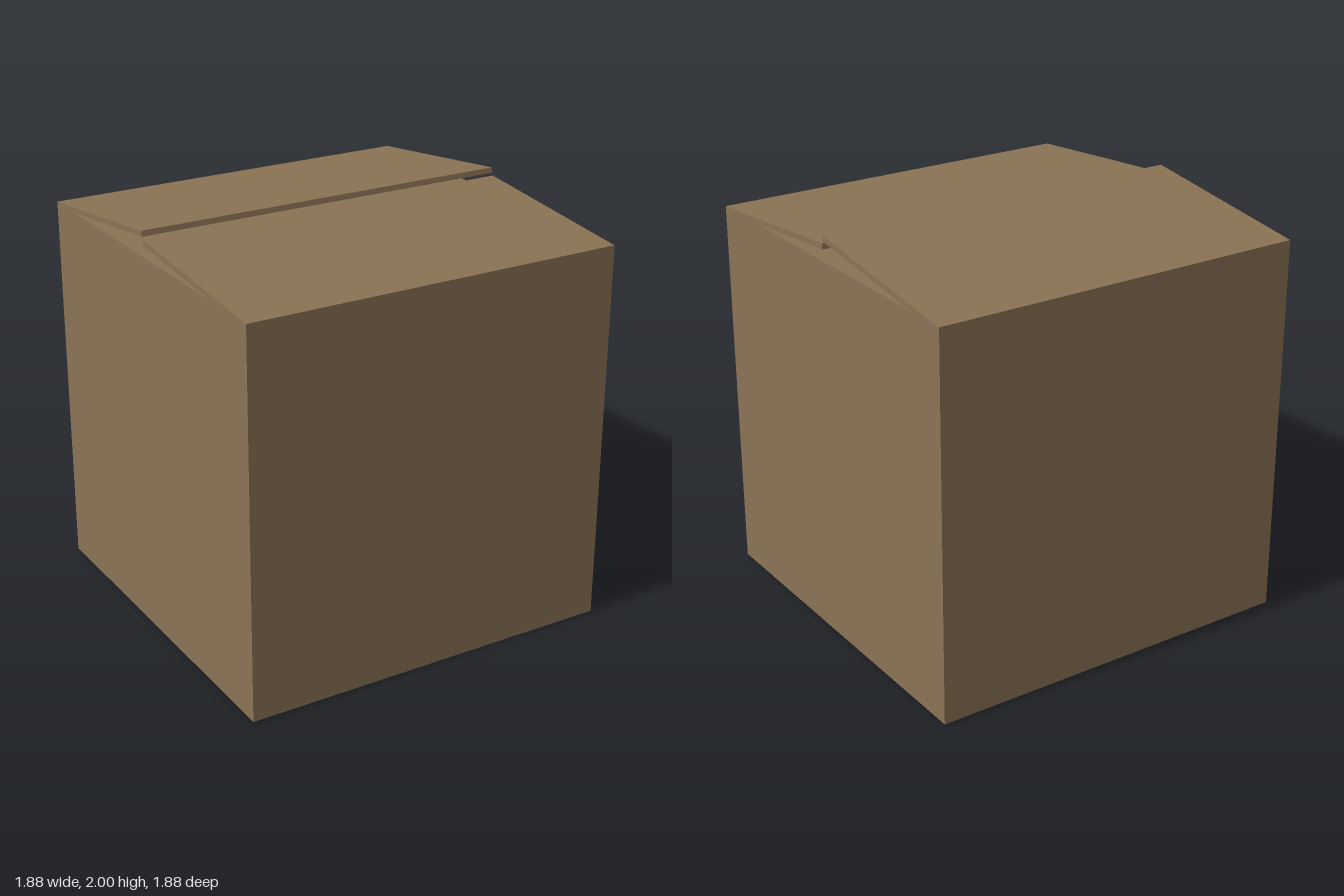
import * as THREE from 'three';

export function createModel() {
  const group = new THREE.Group();
  const card = new THREE.MeshStandardMaterial({ color: 0x8b7355, flatShading: true });
  const size = 1.88, half = size / 2, thickness = 0.027;

  // Closed carton body, its top formed by the flat inner flaps
  const body = new THREE.Mesh(new THREE.BoxGeometry(size, size, size), card);
  body.name = 'boxBody';
  body.position.y = half;
  group.add(body);

  // Outer flap hinged on a top edge, lifted by an angle towards the middle
  function addFlap(name, side, angle) {
    const geometry = new THREE.BoxGeometry(size, thickness, half);
    geometry.translate(0, -thickness / 2, -side * half / 2);
    const flap = new THREE.Mesh(geometry, card);
    flap.name = name;
    flap.position.set(0, size, side * half);
    flap.rotation.x = side * angle;
    group.add(flap);
  }
  addFlap('frontFlap', 1, 0.087);
  addFlap('backFlap', -1, 0.128);

  return group;
}
